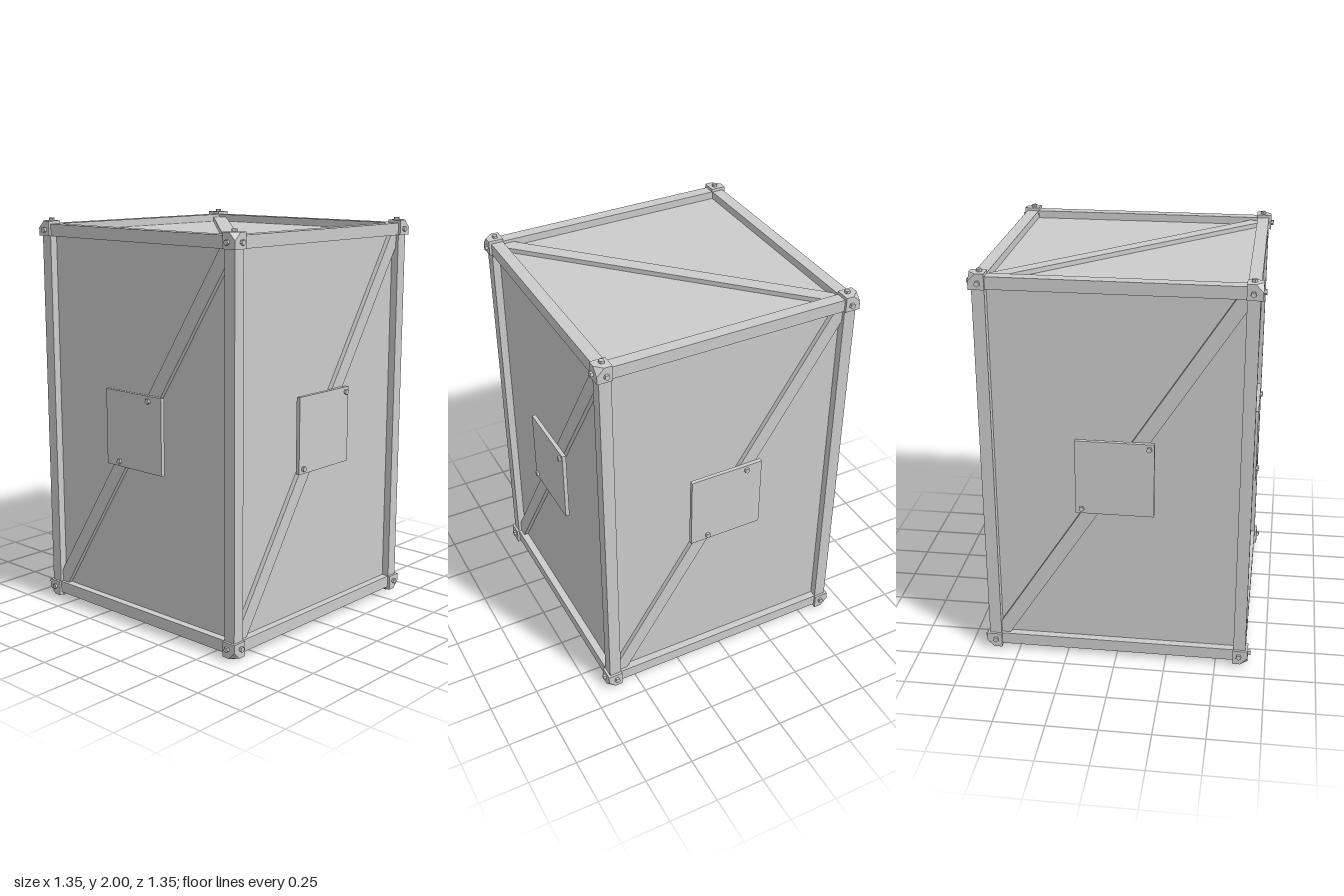
import * as THREE from 'three';
import { ConvexGeometry } from 'three/addons/geometries/ConvexGeometry.js';

const material = new THREE.MeshStandardMaterial({ color: 0xcccccc, flatShading: true });

// Half sizes of the frame, the beam width and the panel recess
const HX = 0.65, HY = 0.972, HZ = 0.65, BEAM = 0.06, RECESS = 0.038;

function add(parent, name, geometry, x = 0, y = 0, z = 0) {
  const mesh = new THREE.Mesh(geometry, material);
  mesh.name = name;
  mesh.position.set(x, y, z);
  parent.add(mesh);
  return mesh;
}

const box = (w, h, d) => new THREE.BoxGeometry(w, h, d);

// Five-sided bolt head with its axis along z
const boltGeometry = new THREE.CylinderGeometry(0.014, 0.014, 0.03, 5).rotateX(Math.PI / 2);

// Diagonal brace lying on a panel that faces +z
function addBrace(parent, halfW, halfH, slope, panelZ) {
  const dx = halfW - 0.05, dy = halfH - 0.042;
  const brace = add(parent, 'diagonalBrace', box(2 * Math.hypot(dx, dy), 0.071, 0.04), 0, 0, panelZ + 0.003);
  brace.rotation.z = slope * Math.atan2(dy, dx);
}

// Corner block with its outer vertex cut off, plus a bolt on each outer face
function createCorner(sx, sy, sz) {
  const corner = new THREE.Group();
  corner.name = 'cornerBracket';
  const s = 0.0375, c = 0.036;
  const points = [];
  for (const x of [-s, s]) for (const y of [-s, s]) for (const z of [-s, s]) {
    if (x * sx > 0 && y * sy > 0 && z * sz > 0) {
      points.push(new THREE.Vector3(x - sx * c, y, z), new THREE.Vector3(x, y - sy * c, z),
        new THREE.Vector3(x, y, z - sz * c));
    } else points.push(new THREE.Vector3(x, y, z));
  }
  add(corner, 'cornerBlock', new ConvexGeometry(points));
  // Bolts sit slightly inward, clear of the cut vertex
  const i = 0.007, out = s - 0.002;
  add(corner, 'cornerBolt', boltGeometry, -sx * i, -sy * i, sz * out);
  add(corner, 'cornerBolt', boltGeometry, sx * out, -sy * i, -sz * i).rotation.y = sx * Math.PI / 2;
  add(corner, 'cornerBolt', boltGeometry, -sx * i, sy * out, -sz * i).rotation.x = -sy * Math.PI / 2;
  corner.position.set(sx * 0.625, sy * 0.9495, sz * 0.625);
  return corner;
}

export function createModel() {
  const model = new THREE.Group();
  model.name = 'crate';
  const crate = new THREE.Group();
  crate.name = 'crateBody';
  crate.position.y = 1;
  model.add(crate);

  // Recessed panels form one inner box
  add(crate, 'panels', box(2 * (HX - RECESS), 2 * (HY - RECESS), 2 * (HZ - RECESS)));

  // Frame: four beams along each axis
  const b = BEAM / 2;
  for (const u of [-1, 1]) for (const v of [-1, 1]) {
    add(crate, 'cornerPost', box(BEAM, 2 * HY - 0.06, BEAM), u * (HX - b), 0, v * (HZ - b));
    add(crate, 'crossRail', box(2 * HX - 0.06, BEAM, BEAM), 0, u * (HY - b), v * (HZ - b));
    add(crate, 'sideRail', box(BEAM, BEAM, 2 * HZ - 0.06), u * (HX - b), v * (HY - b), 0);
    for (const w of [-1, 1]) crate.add(createCorner(u, v, w));
  }

  // Four upright sides: brace, square plate and two bolts
  ['frontSide', 'leftSide', 'backSide', 'rightSide'].forEach((name, k) => {
    const side = new THREE.Group();
    side.name = name;
    side.rotation.y = k * Math.PI / 2;
    addBrace(side, HX, HY, 1, HZ - RECESS);
    add(side, 'coverPlate', box(0.38, 0.38, 0.02), -0.003, 0, 0.645);
    const bx = k % 2 ? 0.163 : 0.103;
    for (const s of [-1, 1]) add(side, 'plateBolt', boltGeometry, s * bx, s * 0.165, 0.652);
    crate.add(side);
  });

  // Top and bottom braces
  for (const s of [-1, 1]) {
    const lid = new THREE.Group();
    lid.name = s < 0 ? 'topSide' : 'bottomSide';
    lid.rotation.x = s * Math.PI / 2;
    addBrace(lid, HX, HZ, -1, HY - RECESS);
    crate.add(lid);
  }
  return model;
}
